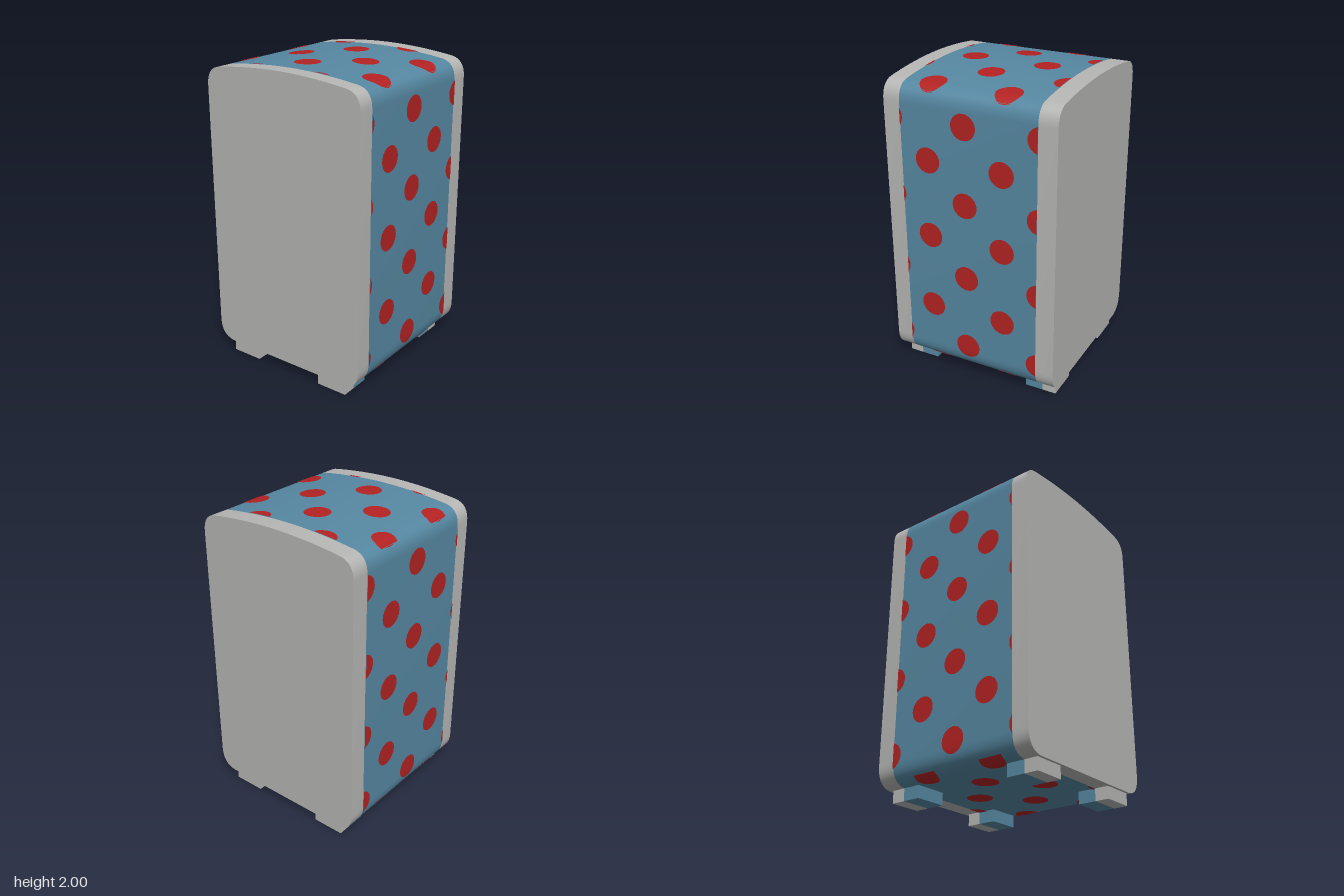
import * as THREE from 'three';
import { toCreasedNormals } from 'three/addons/utils/BufferGeometryUtils.js';

const grey = new THREE.MeshStandardMaterial({ color: 0xb6b6b5 });
grey.name = 'shell grey';
const blue = new THREE.MeshStandardMaterial({ color: 0x5688a2 });
blue.name = 'band blue';
const red = new THREE.MeshStandardMaterial({ color: 0xb32222, side: THREE.DoubleSide });
red.name = 'dot red';

const DEPTH = 0.575, BAND_BACK = -0.453, BAND_FRONT = 0.463;
const LIFT = 0.004, DOT_RADIUS = 0.083;

// Right half of the cabinet outline, bottom centre to top centre
function halfOutline() {
  const path = new THREE.Path();
  path.moveTo(0, 0.08);
  path.lineTo(0.45, 0.08);
  path.quadraticCurveTo(0.575, 0.08, 0.575, 0.22);
  path.lineTo(0.575, 1.84);
  path.quadraticCurveTo(0.575, 1.955, 0.47, 1.967);
  path.quadraticCurveTo(0.23, 2.0, 0, 2.0);
  return path.getPoints(12);
}
const half = halfOutline();

// Height of the top or bottom at x, and half width at height y
function lookup(key, other, value, accept) {
  for (let i = 0; i < half.length - 1; i++) {
    const a = half[i], b = half[i + 1];
    if (!accept(a) || !accept(b) || a[key] === b[key]) continue;
    const t = (value - a[key]) / (b[key] - a[key]);
    if (t >= 0 && t <= 1) return a[other] + t * (b[other] - a[other]);
  }
  return 0;
}
const topY = (x) => lookup('x', 'y', Math.abs(x), (p) => p.y > 1);
const bottomY = (x) => lookup('x', 'y', Math.abs(x), (p) => p.y < 1);
const sideX = (y) => lookup('y', 'x', y, () => true);

// Surface patches on which the dots lie: limits and mapping
const FACES = {
  top: { min: -0.55, max: 0.55, at: (u, z) => [u, topY(u) + LIFT, z] },
  bottom: { min: -0.545, max: 0.545, at: (u, z) => [u, bottomY(u) - LIFT, z] },
  left: { min: 0.115, max: 1.93, at: (u, z) => [sideX(u) + LIFT, u, z] },
  right: { min: 0.115, max: 1.93, at: (u, z) => [-sideX(u) - LIFT, u, z] },
};

function slab(name, z0, z1, material) {
  const mirrored = half.slice(1, -1).reverse().map((p) => new THREE.Vector2(-p.x, p.y));
  const shape = new THREE.Shape([...half, ...mirrored]);
  const geometry = new THREE.ExtrudeGeometry(shape, { depth: z1 - z0, bevelEnabled: false });
  geometry.translate(0, 0, z0);
  const mesh = new THREE.Mesh(toCreasedNormals(geometry, 0.6), material);
  mesh.name = name;
  return mesh;
}

// Disc wrapped on the surface and trimmed to the band
function dot(faceName, u0, z0) {
  const face = FACES[faceName], rings = 6, sides = 24;
  const positions = [], index = [];
  for (let r = 0; r <= rings; r++) {
    for (let s = 0; s < sides; s++) {
      const a = (s / sides) * Math.PI * 2, d = (DOT_RADIUS * r) / rings;
      const u = THREE.MathUtils.clamp(u0 + d * Math.cos(a), face.min, face.max);
      const z = THREE.MathUtils.clamp(z0 + d * Math.sin(a), BAND_BACK, BAND_FRONT);
      positions.push(...face.at(u, z));
      if (r === rings) continue;
      const i = r * sides + s, j = r * sides + ((s + 1) % sides);
      index.push(i, i + sides, j + sides, i, j + sides, j);
    }
  }
  const geometry = new THREE.BufferGeometry();
  geometry.setAttribute('position', new THREE.Float32BufferAttribute(positions, 3));
  geometry.setIndex(index);
  geometry.computeVertexNormals();
  const mesh = new THREE.Mesh(geometry, red);
  mesh.name = faceName + 'Dot';
  return mesh;
}

// Staggered rows of dots over one face
function dots(faceName, uStart, parity) {
  const group = new THREE.Group(), face = FACES[faceName];
  group.name = faceName + 'Dots';
  for (let i = 0; i < 10; i++) {
    const u = uStart + i * 0.25;
    if (u - DOT_RADIUS > face.max || u + DOT_RADIUS < face.min) continue;
    for (let k = -2; k <= 2; k++) {
      if (Math.abs(i + k) % 2 === parity) group.add(dot(faceName, u, 0.028 + k * 0.25));
    }
  }
  return group;
}

// Foot made of a grey outer block and a blue inner block
function foot(x, side) {
  const group = new THREE.Group();
  group.name = side > 0 ? 'frontFoot' : 'backFoot';
  const edge = side > 0 ? BAND_FRONT : BAND_BACK;
  const inner = side > 0 ? 0.342 : -0.333, outer = side > 0 ? 0.556 : -0.547;
  for (const [name, a, b, material] of [['footInner', inner, edge, blue], ['footOuter', edge, outer, grey]]) {
    const block = new THREE.Mesh(new THREE.BoxGeometry(0.215, 0.085, Math.abs(b - a)), material);
    block.position.set(x, 0.0425, (a + b) / 2);
    block.name = name;
    group.add(block);
  }
  return group;
}

export function createModel() {
  const model = new THREE.Group();
  model.name = 'dottedCabinet';

  // Cabinet shell with its blue wrap
  model.add(slab('frontPanel', BAND_FRONT, DEPTH, grey));
  model.add(slab('wrapBand', BAND_BACK, BAND_FRONT, blue));
  model.add(slab('backPanel', -DEPTH, BAND_BACK, grey));

  // Polka dots
  model.add(dots('top', -0.525, 1), dots('bottom', -0.525, 1));
  model.add(dots('left', 0.007, 1), dots('right', 0.007, 1));

  // Four feet
  for (const x of [-0.36, 0.355]) {
    for (const side of [-1, 1]) model.add(foot(x, side));
  }
  return model;
}
